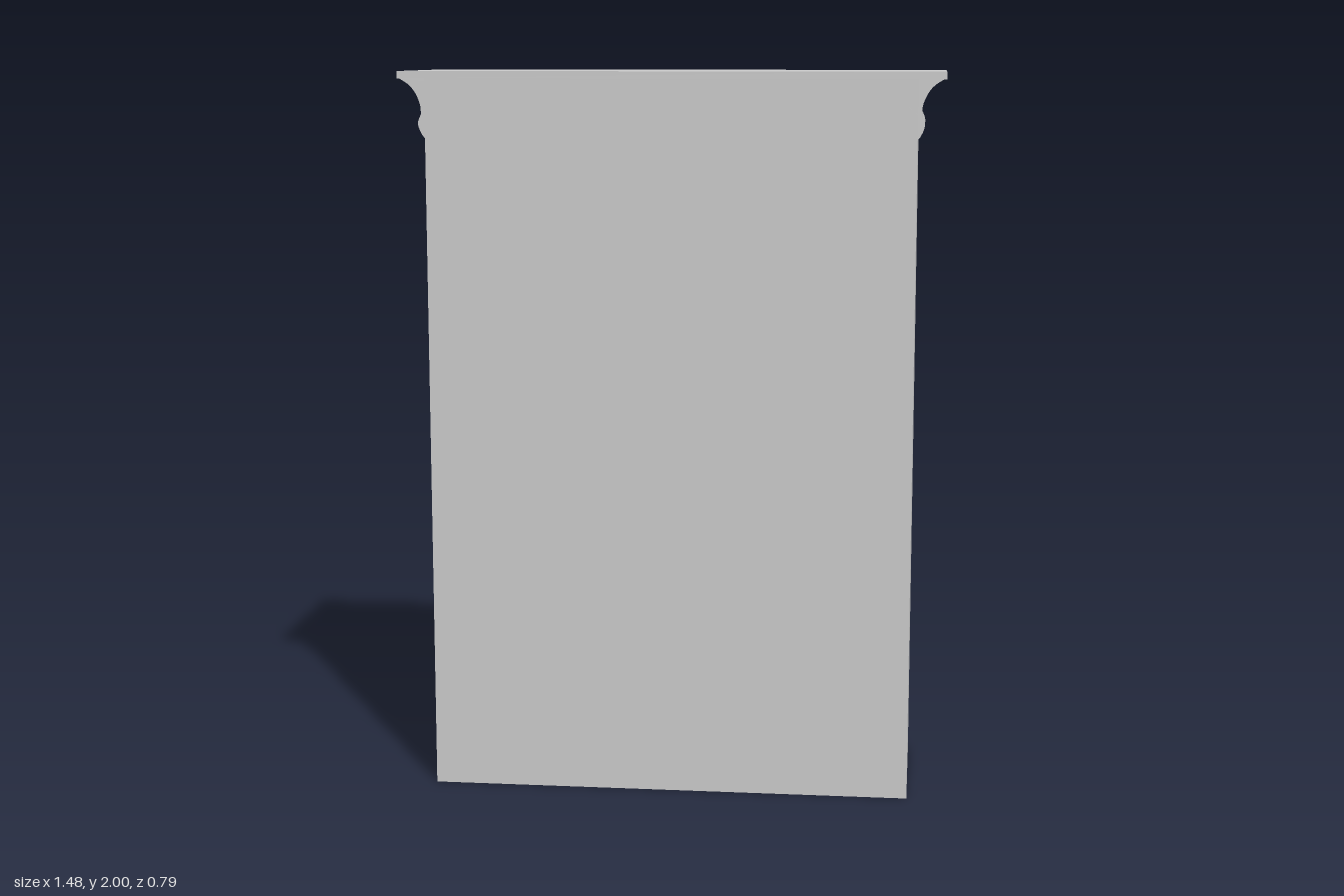
import * as THREE from 'three';

const material = new THREE.MeshStandardMaterial({ color: 0xcccccc });
const HALF = 0.665, FACE = -0.055, BACK = 0.395, INNER = 0.335;

function add(parent, name, geometry) {
  const mesh = new THREE.Mesh(geometry, material);
  mesh.name = name;
  parent.add(mesh);
  return mesh;
}

// Box given by its limits on each axis
function box(parent, name, [x0, x1], [y0, y1], [z0, z1]) {
  const mesh = add(parent, name, new THREE.BoxGeometry(x1 - x0, y1 - y0, z1 - z0));
  mesh.position.set((x0 + x1) / 2, (y0 + y1) / 2, (z0 + z1) / 2);
}

function rectangle(PathType, x0, x1, y0, y1) {
  return new PathType([[x0, y0], [x1, y0], [x1, y1], [x0, y1]].map(p => new THREE.Vector2(...p)));
}

// Cornice profile: [overhang, height], a small bead below a cove
function corniceProfile() {
  const bead = new THREE.SplineCurve([[0, 1.82], [0.008, 1.83], [0.017, 1.85], [0.018, 1.865], [0.01, 1.885]]
    .map(p => new THREE.Vector2(...p)));
  const cove = new THREE.SplineCurve([[0.01, 1.885], [0.012, 1.91], [0.024, 1.94], [0.042, 1.963], [0.068, 1.98]]
    .map(p => new THREE.Vector2(...p)));
  return [...bead.getPoints(8), ...cove.getPoints(10).slice(1)];
}

// Sweep the profile along one mitred side, from corner a to corner b
function corniceSide(profile, a, b) {
  const positions = [], index = [];
  profile.forEach((p, i) => {
    positions.push(...a(p.x, p.y), ...b(p.x, p.y));
    if (i) {
      const k = 2 * i;
      index.push(k - 2, k - 1, k + 1, k - 2, k + 1, k);
    }
  });
  const geometry = new THREE.BufferGeometry();
  geometry.setAttribute('position', new THREE.Float32BufferAttribute(positions, 3));
  geometry.setIndex(index);
  geometry.computeVertexNormals();
  return geometry;
}

function createCornice() {
  const cornice = new THREE.Group();
  cornice.name = 'cornice';
  const profile = corniceProfile();
  const corners = [
    (d, y) => [HALF + d, y, BACK],
    (d, y) => [HALF + d, y, FACE - d],
    (d, y) => [-HALF - d, y, FACE - d],
    (d, y) => [-HALF - d, y, BACK],
  ];
  ['corniceSideLeft', 'corniceFace', 'corniceSideRight'].forEach((name, i) =>
    add(cornice, name, corniceSide(profile, corners[i], corners[i + 1])));

  // Flat end of the moulding against the wall
  const outline = [
    ...profile.map(p => new THREE.Vector2(HALF + p.x, p.y)),
    ...profile.map(p => new THREE.Vector2(-HALF - p.x, p.y)).reverse(),
  ];
  add(cornice, 'corniceBack', new THREE.ShapeGeometry(new THREE.Shape(outline)))
    .position.z = BACK;

  box(cornice, 'topBoard', [-0.74, 0.74], [1.98, 2], [-0.145, BACK]);
  return cornice;
}

// Carcass: one block pierced by the shelf bays and drawer bays, closed by a back panel
function createCarcass() {
  const carcass = new THREE.Group();
  carcass.name = 'carcass';
  const shape = rectangle(THREE.Shape, -HALF, HALF, 0, 1.98);
  for (const [y0, y1] of [[0.578, 0.924], [0.96, 1.448], [1.485, 1.808]])
    shape.holes.push(rectangle(THREE.Path, -0.53, 0.53, y0, y1));
  for (const [x0, x1] of [[0.035, 0.477], [-0.49, -0.048]])
    shape.holes.push(rectangle(THREE.Path, x0, x1, 0.074, 0.515));
  add(carcass, 'shelfFrame', new THREE.ExtrudeGeometry(shape, { depth: INNER - FACE, bevelEnabled: false }))
    .position.z = FACE;
  box(carcass, 'backPanel', [-HALF, HALF], [0, 1.98], [INNER, BACK]);
  return carcass;
}

// Open-topped drawer with an overlapping front board; z is the outer face
function createDrawer(name, x, y, z) {
  const drawer = new THREE.Group();
  drawer.name = name;
  const t = 0.02, depth = 0.38, height = 0.11;
  box(drawer, 'drawerFront', [-0.2575, 0.2575], [-0.005, 0.203], [0, t]);
  for (const s of [-1, 1])
    box(drawer, 'drawerSide', s < 0 ? [-0.215, -0.195] : [0.195, 0.215], [0, height], [t, depth]);
  box(drawer, 'drawerBack', [-0.195, 0.195], [0, height], [depth - t, depth]);
  box(drawer, 'drawerBottom', [-0.195, 0.195], [0, 0.015], [t, depth - t]);
  drawer.position.set(x, y, z);
  return drawer;
}

export function createModel() {
  const bookcase = new THREE.Group();
  bookcase.name = 'bookcase';
  bookcase.add(
    createCarcass(),
    createCornice(),
    createDrawer('upperLeftDrawer', 0.255, 0.298, -0.183),
    createDrawer('lowerLeftDrawer', 0.255, 0.08, -0.395),
    createDrawer('upperRightDrawer', -0.271, 0.298, -0.09),
    createDrawer('lowerRightDrawer', -0.271, 0.08, -0.09),
  );
  return bookcase;
}
